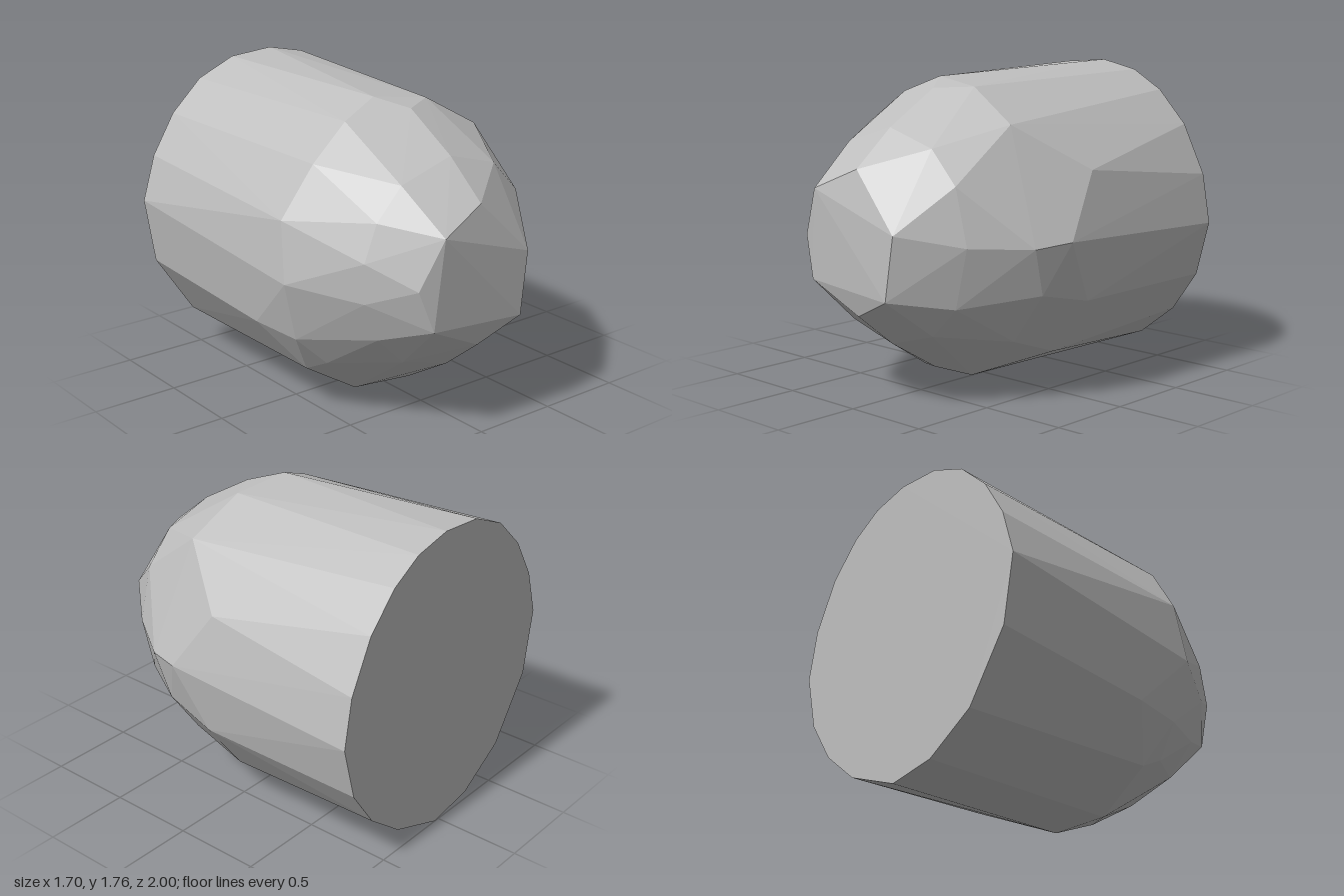
import * as THREE from 'three';
import { ConvexGeometry } from 'three/addons/geometries/ConvexGeometry.js';

// Flat back rim, [x, y] at z = -1
const backRim = [
  [0.06, 1.76], [0.29, 1.71], [0.48, 1.6], [0.66, 1.41], [0.8, 1.13],
  [0.85, 0.85], [0.77, 0.54], [0.61, 0.31], [0.38, 0.13], [0.03, 0], [-0.26, 0.05],
  [-0.55, 0.23], [-0.79, 0.59], [-0.85, 0.97], [-0.77, 1.23], [-0.63, 1.46],
  [-0.44, 1.64], [-0.21, 1.74],
];

// Uneven shoulder where the body turns into the nose
const shoulder = [
  [-0.12, 1.71, 0.22], [0.2, 1.67, 0.28], [0, 1.66, 0.39], [0.51, 1.49, 0.33],
  [0.76, 1.24, -0.04], [0.83, 0.89, 0.2], [0.76, 0.87, 0.41], [0.77, 0.54, 0],
  [0.73, 0.61, 0.32], [0.53, 0.33, 0.32], [0.53, 0.22, 0], [0.12, 0.05, 0.22],
  [0, 0.11, 0.39], [-0.25, 0.05, 0.22], [-0.57, 0.25, 0.2], [-0.55, 0.33, 0.36],
  [-0.755, 0.51, 0], [-0.71, 0.49, 0.3], [-0.8, 0.83, 0.33], [-0.77, 1.16, 0.27],
  [-0.59, 1.44, 0.31], [-0.35, 1.62, 0.27],
];

// Ring halfway along the nose, [x, y] at z = 0.71
const noseRing = [
  [0, 1.47], [0.31, 1.38], [0.48, 1.2], [0.56, 0.89], [0.48, 0.56], [0.31, 0.39],
  [0, 0.3], [-0.31, 0.39], [-0.48, 0.56], [-0.57, 0.78], [-0.57, 1], [-0.49, 1.2],
  [-0.33, 1.37],
];

// Small blunt tip
const tip = [
  [0, 1.27, 0.95], [-0.28, 1.15, 1], [-0.41, 0.88, 0.95], [-0.33, 0.65, 0.98],
  [0, 0.49, 0.95], [0.26, 0.61, 1], [0.31, 0.96, 0.99],
];

export function createModel() {
  const group = new THREE.Group();
  group.name = 'facetedCapsule';
  const grey = new THREE.MeshStandardMaterial({ color: 0xbebebe });
  grey.name = 'lightGrey';

  const ringAt = (ring, z) => ring.map(([x, y]) => new THREE.Vector3(x, y, z));
  const points = [
    ...ringAt(backRim, -1),
    ...shoulder.map((p) => new THREE.Vector3(...p)),
    ...ringAt(noseRing, 0.71),
    ...tip.map((p) => new THREE.Vector3(...p)),
  ];

  // Flat-faced skin stretched over all the rings
  const shell = new THREE.Mesh(new ConvexGeometry(points), grey);
  shell.name = 'shell';
  group.add(shell);
  return group;
}
